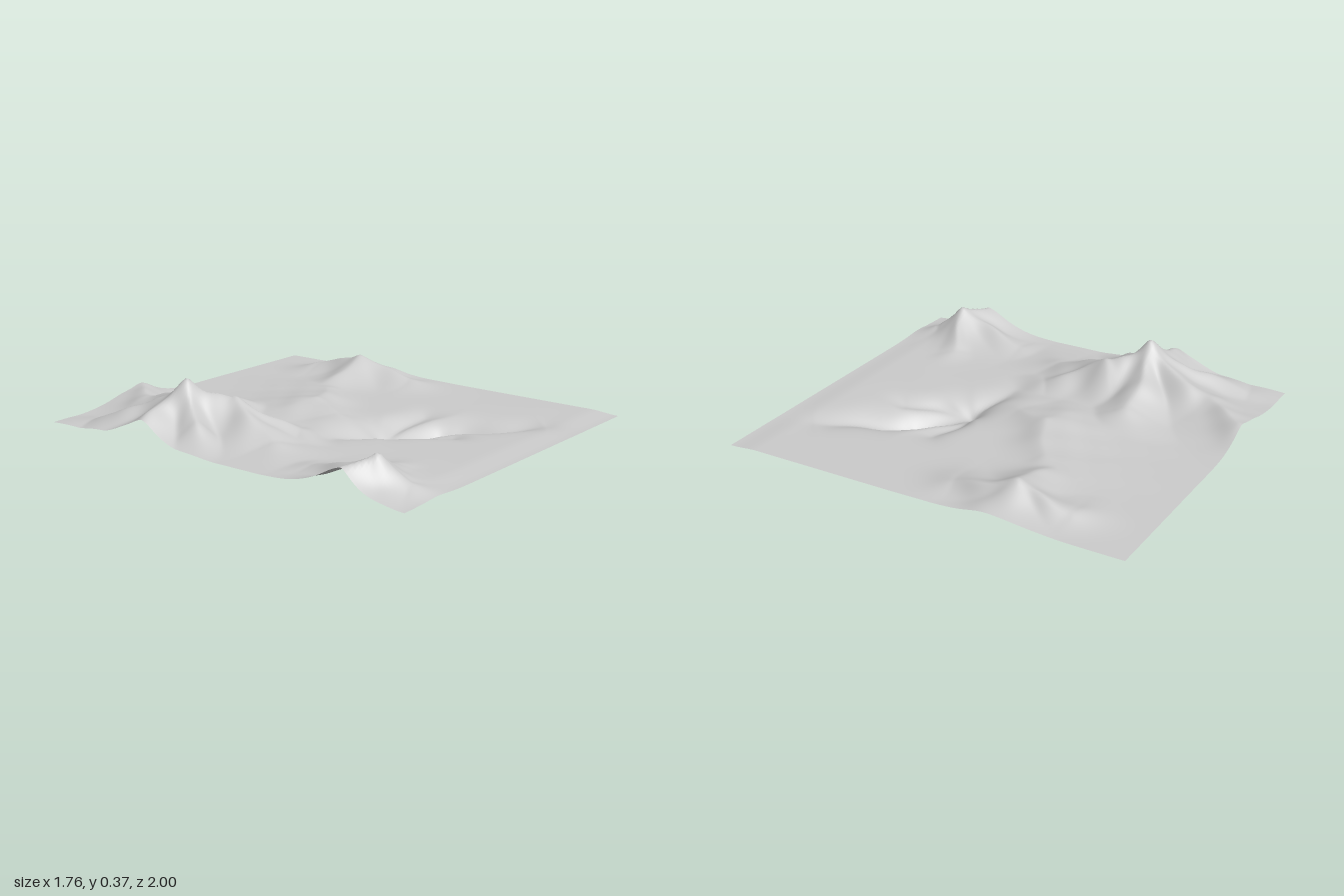
import * as THREE from 'three';

const { lerp, clamp, smoothstep } = THREE.MathUtils;
const WIDTH = 1.76, DEPTH = 2, BASE = 0.11;

// A straight crest between two points (x, z, height); flanks differ on the left and right of the walk
const crest = (from, to, left = 0.14, right = left) => ({ from, to, left, right });
const point = (x, z, h) => new THREE.Vector3(x, z, h);

// Hilltops and the deepest spots
const summit = point(-0.6, -0.4, 0.215);
const shoulder = point(-0.48, -0.23, 0.16);
const saddle = point(-0.48, -0.75, 0.085);
const shelf = point(0.05, -0.17, 0.062);
const eastTop = point(0.71, -0.4, 0.113);
const cornerTop = point(-0.74, 0.76, 0.135);
const deepPit = point(0.22, 0.44, 0.105);
const smallPit = point(-0.02, 0.25, 0.08);

const hills = [
  // main massif and its spurs
  crest(summit, shoulder, 0.15),
  crest(summit, saddle, 0.17, 0.13),
  crest(saddle, point(-0.33, -1, 0.083), 0.17, 0.13),
  crest(summit, point(-0.88, -0.43, 0.115), 0.13, 0.17),
  crest(summit, point(-0.74, -0.22, 0.11), 0.1),
  crest(summit, point(-0.22, -0.47, 0.075)),
  crest(summit, point(-0.78, -0.85, 0.02)),
  crest(shoulder, point(-0.59, 0.1, 0.04)),
  crest(shoulder, point(-0.36, 0.05, 0.04), 0.11),
  // shelf stepping down to the south east
  crest(point(0.32, -0.32, 0.035), shelf, 0.09, 0.32),
  crest(shelf, point(-0.03, 0, 0.035), 0.09, 0.3),
  // eastern hill
  crest(eastTop, point(0.71, -0.66, 0.045), 0.13, 0.075),
  crest(eastTop, point(0.73, -0.1, 0.035), 0.075, 0.13),
  crest(eastTop, point(0.38, -0.4, 0.025)),
  // front corner hill
  crest(cornerTop, point(-0.88, 0.7, 0.115), 0.085, 0.16),
  crest(cornerTop, point(-0.67, 0.88, 0.04), 0.09),
  crest(cornerTop, point(-0.7, 0.38, 0.02), 0.09),
  crest(cornerTop, point(-0.48, 0.66, 0.025), 0.08),
];

// Basin arms, with depth in place of height
const hollows = [
  crest(smallPit, deepPit, 0.085),
  crest(deepPit, point(0.5, 0.8, 0.012), 0.085),
  crest(smallPit, point(-0.25, 0.18, 0.018), 0.08),
  crest(smallPit, point(0.32, 0.26, 0.028), 0.06, 0.1),
  crest(smallPit, point(0.1, 0.55, 0.03), 0.1, 0.055),
];

// Height a crest lends to the spot (x, z)
function influence({ from, to, left, right }, x, z) {
  const dx = to.x - from.x, dz = to.y - from.y, len = Math.hypot(dx, dz);
  const t = clamp(((x - from.x) * dx + (z - from.y) * dz) / (len * len), 0, 1);
  const ox = x - from.x - dx * t, oz = z - from.y - dz * t;
  const d = Math.hypot(ox, oz);
  const side = d > 1e-6 ? (dx * oz - dz * ox) / (len * d) : 0;
  const w = lerp(left, right, (1 + side) / 2);
  return lerp(from.z, to.z, t) * Math.exp(-Math.pow(d / w, 1.45));
}

// Smooth maximum over a set of crests
const blend = (crests, x, z) =>
  Math.pow(crests.reduce((sum, c) => sum + influence(c, x, z) ** 10, 0), 0.1);

function heightAt(x, z) {
  // a gentle warp makes the crests wander
  const wx = x + 0.012 * Math.sin(19 * z + 5 * x);
  const wz = z + 0.012 * Math.sin(17 * x - 4 * z);
  const hill = blend(hills, wx, wz);
  const rough = 0.04 * hill * Math.sin(31 * x + 9 * z) * Math.sin(27 * z - 8 * x);
  const frontDip = 0.01 * smoothstep(z, 0.85, 1);
  return BASE + hill + rough - blend(hollows, wx, wz) - frontDip;
}

export function createModel() {
  const group = new THREE.Group();
  group.name = 'landscape';

  // one open sheet of ground, raised by the height rule
  const geometry = new THREE.PlaneGeometry(WIDTH, DEPTH, 132, 150).rotateX(-Math.PI / 2);
  const pos = geometry.attributes.position;
  for (let i = 0; i < pos.count; i++) pos.setY(i, heightAt(pos.getX(i), pos.getZ(i)));
  geometry.computeBoundingBox();
  geometry.translate(0, -geometry.boundingBox.min.y, 0);
  geometry.computeVertexNormals();

  const terrain = new THREE.Mesh(
    geometry,
    new THREE.MeshStandardMaterial({ color: 0xcccccc, side: THREE.DoubleSide })
  );
  terrain.name = 'terrain';
  group.add(terrain);
  return group;
}
